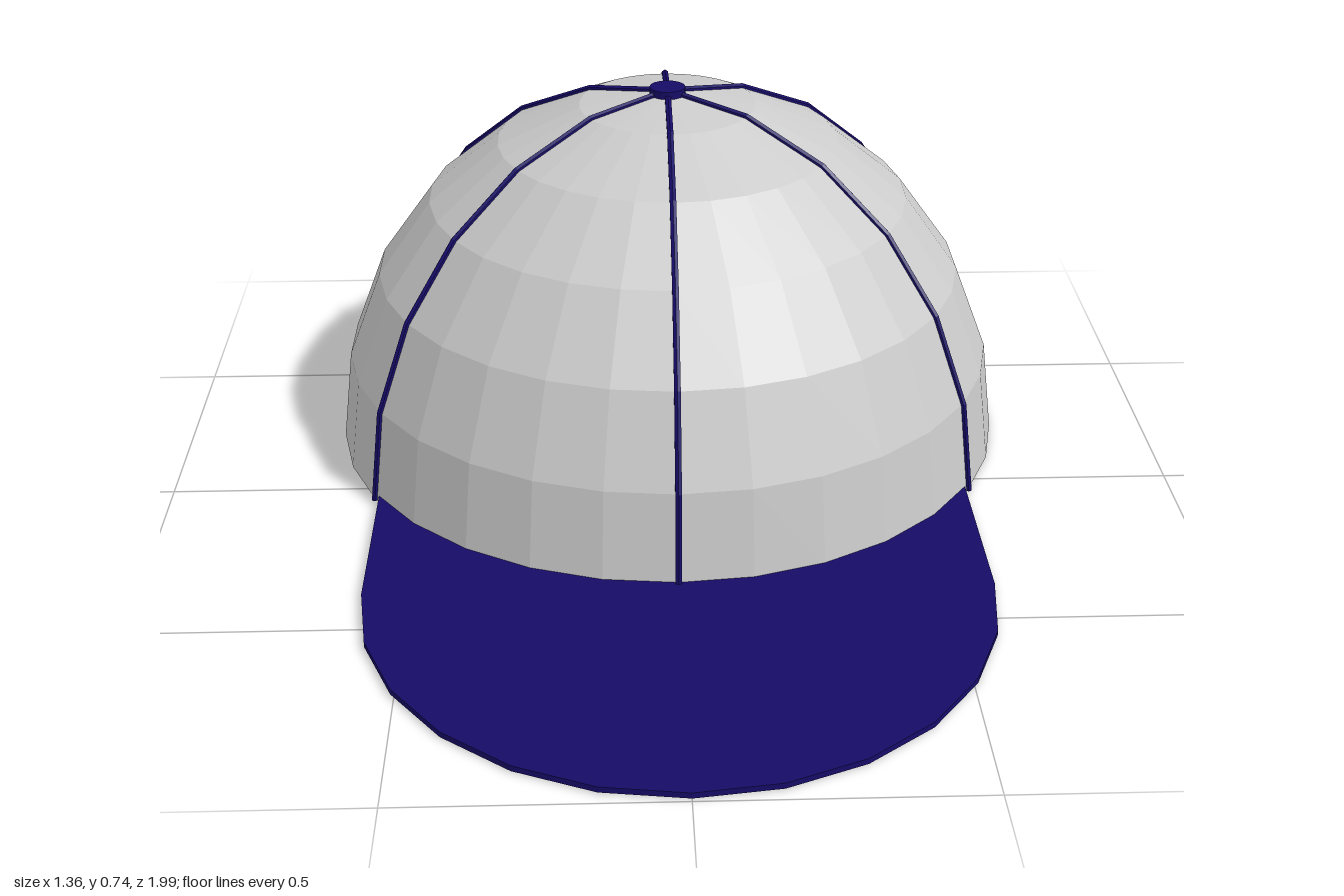
import * as THREE from 'three';

const R = 0.685, H = 0.73, STEPS = 6;
const CROWN_Z = -0.3;

export function createModel() {
  const cap = new THREE.Group();
  cap.name = 'cap';
  const grey = new THREE.MeshStandardMaterial({ color: 0xcccccc, flatShading: true });
  const navy = new THREE.MeshStandardMaterial({ color: 0x160c68, flatShading: true });

  const add = (parent, name, geometry, material) => {
    const mesh = new THREE.Mesh(geometry, material);
    mesh.name = name;
    parent.add(mesh);
    return mesh;
  };

  const crown = new THREE.Group();
  crown.name = 'crown';
  crown.position.z = CROWN_Z;
  cap.add(crown);

  // faceted dome, closed underneath
  const profile = [new THREE.Vector2(0, 0)];
  for (let i = 0; i <= STEPS; i++) {
    const a = (i / STEPS) * Math.PI / 2;
    profile.push(new THREE.Vector2(i === STEPS ? 0 : R * Math.cos(a), H * Math.sin(a)));
  }
  add(crown, 'dome', new THREE.LatheGeometry(profile, 30), grey);

  // three piping arcs over the top give six panel seams
  for (let i = 0; i < 3; i++) {
    const arc = new THREE.TorusGeometry(R + 0.001, 0.007, 6, STEPS * 2, Math.PI);
    arc.scale(1, H / R, 1);
    add(crown, 'seam', arc, navy).rotation.y = Math.PI / 2 + i * Math.PI / 3;
  }

  // button on top
  const button = add(crown, 'button', new THREE.CylinderGeometry(0.036, 0.036, 0.016, 16), navy);
  button.position.y = 0.732;

  // flat visor: rounded front, back edge tucked just inside the dome
  const W = 0.585, FRONT = 0.405, inner = R - 0.02;
  const shape = new THREE.Shape();
  const corner = Math.acos(W / inner);
  shape.moveTo(W, CROWN_Z + inner * Math.sin(corner));
  for (let i = 0; i <= 12; i++) {
    const a = (i / 12) * Math.PI;
    shape.lineTo(W * Math.cos(a), FRONT + 0.59 * Math.sin(a));
  }
  for (let i = 0; i <= 12; i++) {
    const a = Math.PI - corner - (i / 12) * (Math.PI - 2 * corner);
    shape.lineTo(inner * Math.cos(a), CROWN_Z + inner * Math.sin(a));
  }
  const visor = new THREE.ExtrudeGeometry(shape, { depth: 0.011, bevelEnabled: false });
  visor.rotateX(Math.PI / 2);
  visor.translate(0, 0.013, 0);
  add(cap, 'visor', visor, navy);

  return cap;
}
